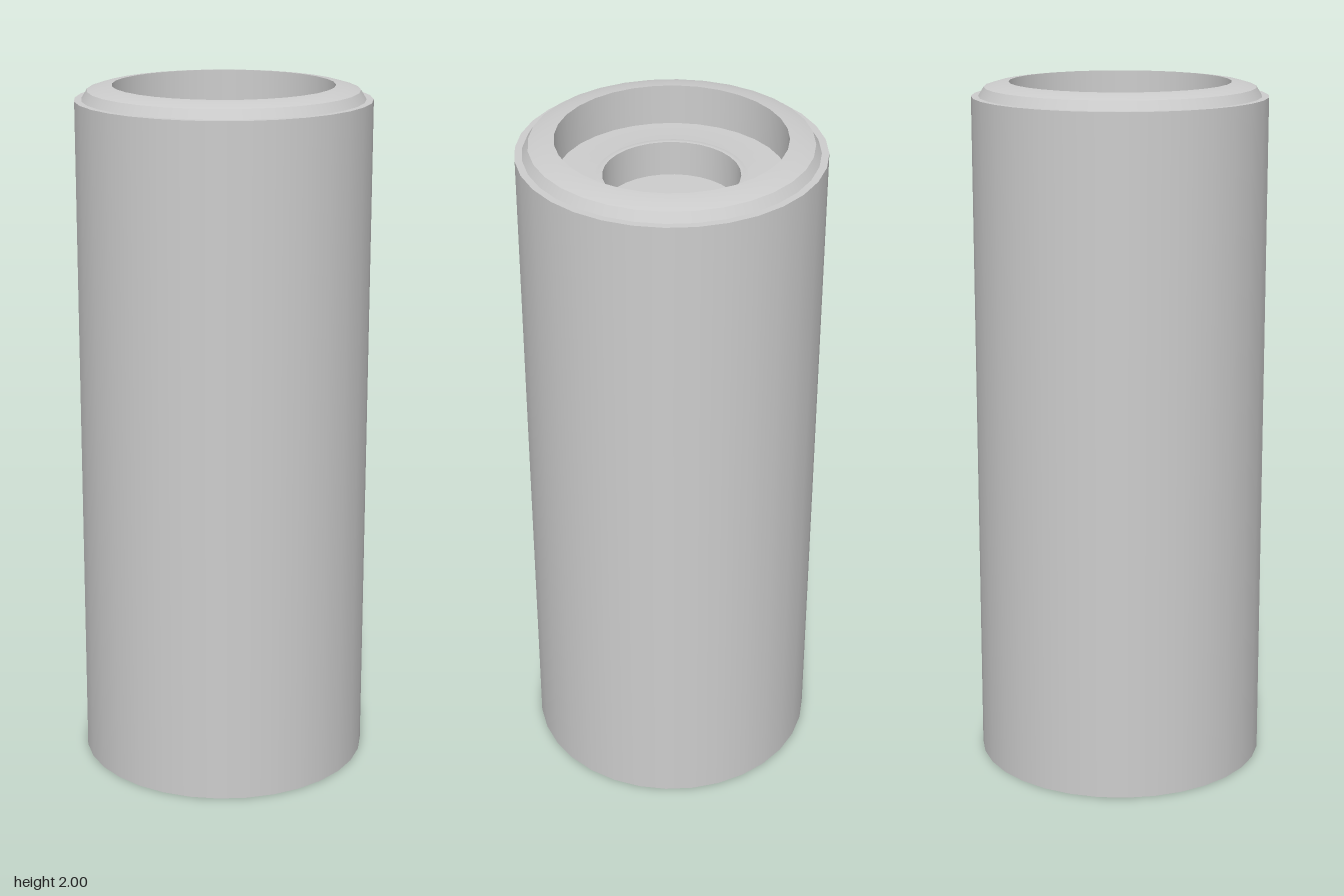
import * as THREE from 'three';

export function createModel() {
  const group = new THREE.Group();
  const grey = new THREE.MeshStandardMaterial({ color: 0xcccccc });
  grey.name = 'plain grey';

  // Each surface is lathed on its own, so edges between surfaces stay sharp.
  // Profiles run from the base centre, up the outside and down into the bore.
  function turn(name, ...profile) {
    const points = profile.map(([r, y]) => new THREE.Vector2(r, y));
    const mesh = new THREE.Mesh(new THREE.LatheGeometry(points, 32), grey);
    mesh.name = name;
    group.add(mesh);
  }

  // Outer body
  turn('base', [0, 0], [0.42, 0]);
  turn('outerWall', [0.42, 0], [0.42, 1.96]);
  turn('shoulder', [0.42, 1.96], [0.4, 1.96]);

  // Raised collar around the mouth
  turn('collarChamfer', [0.4, 1.96], [0.384, 1.986]);
  turn('collarTop', [0.384, 1.986], [0.35, 1.996], [0.314, 2]);

  // Stepped bore with a small lip around the second step
  turn('upperBore', [0.314, 2], [0.314, 1.885]);
  turn('upperFloor', [0.314, 1.885], [0.21, 1.885], [0.2, 1.892], [0.187, 1.89]);
  turn('middleBore', [0.187, 1.89], [0.187, 1.79]);
  turn('middleFloor', [0.187, 1.79], [0.063, 1.79]);
  turn('centreBore', [0.063, 1.79], [0.063, 1.7]);
  turn('centreFloor', [0.063, 1.7], [0, 1.7]);

  return group;
}
